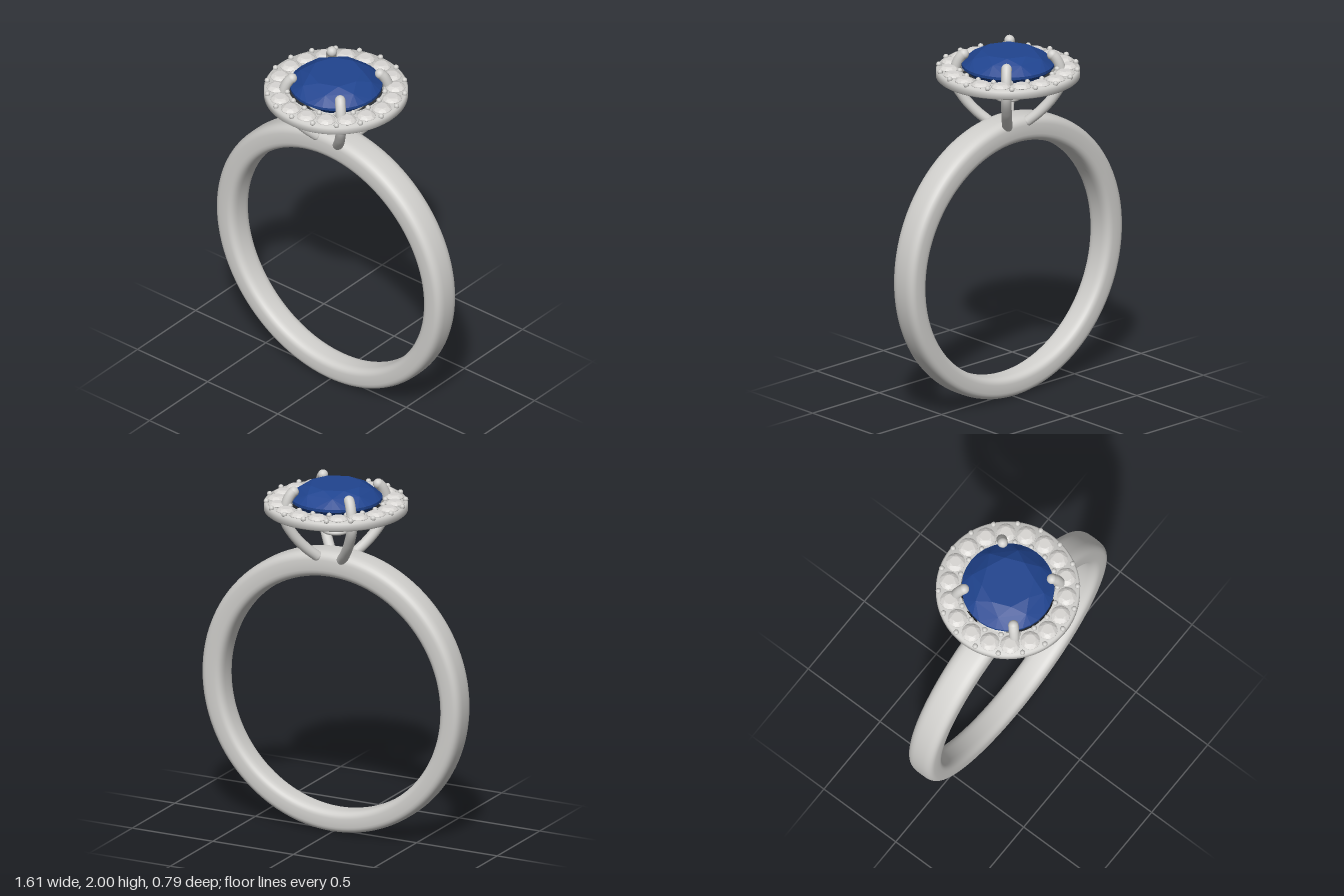
import * as THREE from 'three';
import { toCreasedNormals } from 'three/addons/utils/BufferGeometryUtils.js';
import { ConvexGeometry } from 'three/addons/geometries/ConvexGeometry.js';

const metal = new THREE.MeshStandardMaterial({ color: 0xd0cfcc });
metal.name = 'silver metal';
const blue = new THREE.MeshStandardMaterial({ color: 0x20448f });
blue.name = 'blue gem';
const clear = new THREE.MeshStandardMaterial({ color: 0xd8d6d3 });
clear.name = 'pale gem';

function add(parent, name, geometry, material, x = 0, y = 0, z = 0) {
  const mesh = new THREE.Mesh(geometry, material);
  mesh.name = name;
  mesh.position.set(x, y, z);
  parent.add(mesh);
  return mesh;
}

// Rounded-rectangle section swept round the finger hole, heavier at the top
function bandGeometry() {
  const inner = 0.672, centreY = 0.797, nu = 128, nv = 32;
  const soft = (t) => Math.sign(t) * Math.pow(Math.abs(t), 0.6);
  const positions = [], index = [];
  for (let i = 0; i < nu; i++) {
    const u = (i / nu) * Math.PI * 2;
    const rise = (1 + Math.cos(u)) / 2;
    const halfThick = (0.125 + 0.027 * rise * rise) / 2;
    const halfWidth = 0.075 + 0.02 * rise;
    for (let j = 0; j < nv; j++) {
      const v = (j / nv) * Math.PI * 2;
      const r = inner + halfThick + halfThick * soft(Math.cos(v));
      positions.push(r * Math.sin(u), centreY + r * Math.cos(u), halfWidth * soft(Math.sin(v)));
      const i2 = (i + 1) % nu, j2 = (j + 1) % nv;
      const a = i * nv + j, b = i * nv + j2, c = i2 * nv + j2, d = i2 * nv + j;
      index.push(a, b, d, b, c, d);
    }
  }
  const g = new THREE.BufferGeometry();
  g.setAttribute('position', new THREE.Float32BufferAttribute(positions, 3));
  g.setIndex(index);
  g.computeVertexNormals();
  return g;
}

// Round brilliant cut: table, crown, girdle, pavilion and culet; girdle top at y = 0
function gemGeometry(radius, girdleSides) {
  const points = [];
  const ring = (r, y, n, offset = 0) => {
    for (let i = 0; i < n; i++) {
      const a = ((i + offset) / n) * Math.PI * 2;
      points.push(new THREE.Vector3(Math.sin(a) * r * radius, y * radius, Math.cos(a) * r * radius));
    }
  };
  ring(0.57, 0.285, 8);
  ring(0.8, 0.182, 8, 0.5);
  ring(1, 0, girdleSides);
  ring(1, -0.06, girdleSides);
  ring(0.42, -0.54, 8, 0.5);
  points.push(new THREE.Vector3(0, -0.86 * radius, 0));
  return new ConvexGeometry(points);
}

export function createModel() {
  const model = new THREE.Group();
  model.name = 'haloRing';
  add(model, 'band', bandGeometry(), metal);

  // Flat halo plate with softened edges
  const profile = [
    [0.26, 1.843], [0.387, 1.843], [0.396, 1.851], [0.396, 1.888],
    [0.388, 1.895], [0.26, 1.895], [0.26, 1.843],
  ].map(([r, y]) => new THREE.Vector2(r, y));
  add(model, 'haloPlate', toCreasedNormals(new THREE.LatheGeometry(profile, 96), 0.9), metal);

  // Small stones and the beads holding them
  const haloStones = new THREE.Group();
  haloStones.name = 'haloStones';
  const haloBeads = new THREE.Group();
  haloBeads.name = 'haloBeads';
  model.add(haloStones, haloBeads);
  const smallGem = gemGeometry(0.054, 16);
  const bead = new THREE.SphereGeometry(0.015, 16, 12);
  for (let i = 0; i < 18; i++) {
    const a = (i / 18) * Math.PI * 2, b = a + Math.PI / 18;
    const stone = add(haloStones, 'haloStone', smallGem, clear,
      Math.sin(b) * 0.326, 1.899, Math.cos(b) * 0.326);
    stone.rotation.y = b;
    for (const r of [0.272, 0.382]) {
      add(haloBeads, 'haloBead', bead, metal, Math.sin(a) * r, 1.9, Math.cos(a) * r);
    }
  }

  // Centre stone
  add(model, 'centreStone', gemGeometry(0.255, 32), blue, 0, 1.925, 0);

  // Gallery rings under the stone
  for (const [name, r, y, t] of [['upperGallery', 0.152, 1.825, 0.016], ['lowerGallery', 0.064, 1.73, 0.013]]) {
    add(model, name, new THREE.TorusGeometry(r, t, 12, 48), metal, 0, y, 0).rotation.x = Math.PI / 2;
  }

  // Four curved prongs on the diagonals
  const path = new THREE.CatmullRomCurve3([
    [0.11, 1.59], [0.175, 1.645], [0.245, 1.725], [0.295, 1.82], [0.287, 1.9], [0.265, 1.95], [0.243, 1.975],
  ].map(([x, y]) => new THREE.Vector3(x, y, 0)));
  const tube = new THREE.TubeGeometry(path, 40, 0.029, 16, false);
  const tip = new THREE.SphereGeometry(0.029, 16, 12);
  for (let i = 0; i < 4; i++) {
    const prong = new THREE.Group();
    prong.name = 'prong';
    prong.rotation.y = Math.PI / 4 + (i * Math.PI) / 2;
    add(prong, 'prongShaft', tube, metal);
    add(prong, 'prongTip', tip, metal, 0.243, 1.972, 0);
    add(prong, 'prongFoot', tip, metal, 0.11, 1.59, 0);
    model.add(prong);
  }
  return model;
}
